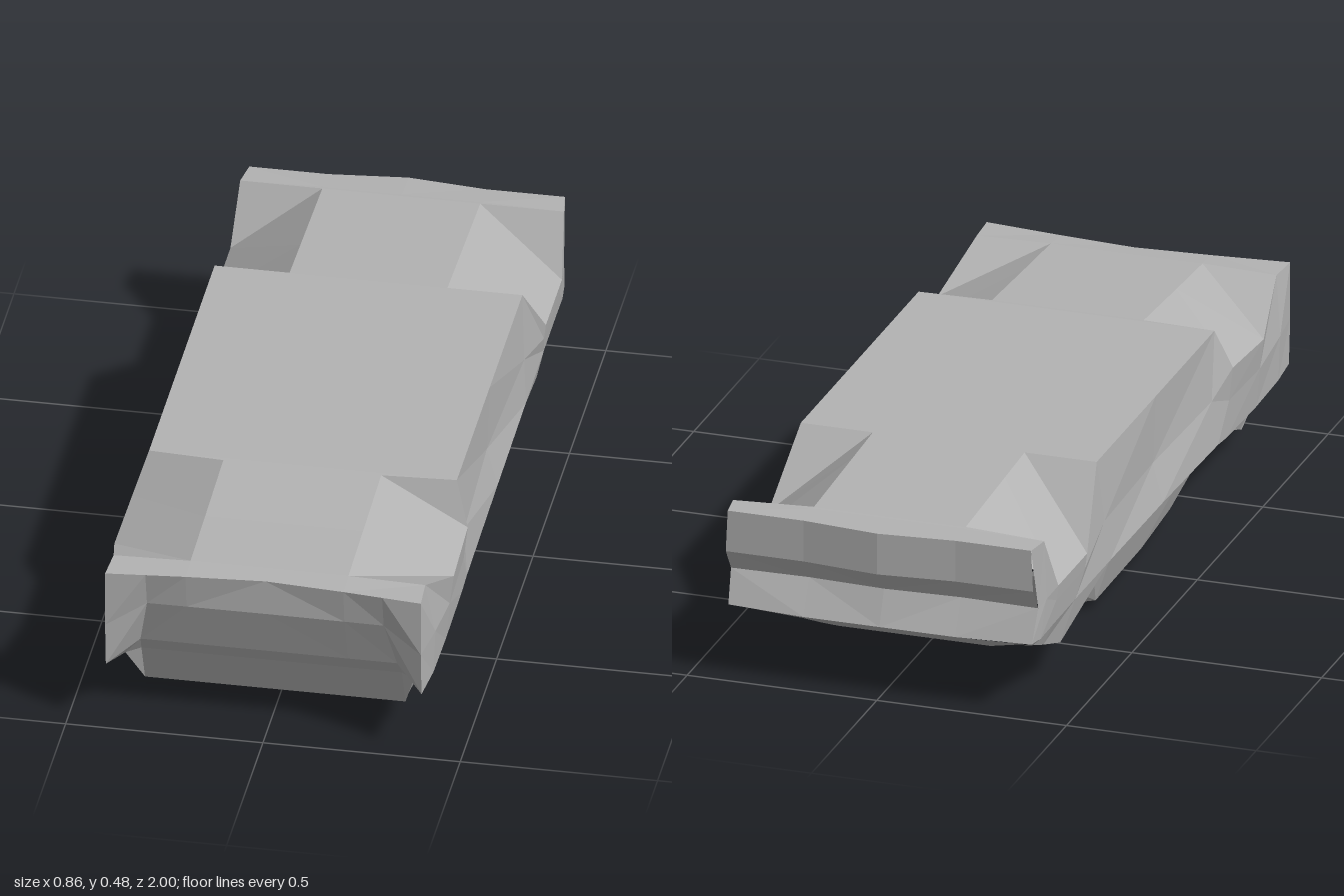
import * as THREE from 'three';

// Skins a list of half sections (x >= 0) and mirrors the result across x = 0.
function mirroredLoft(name, sections, material) {
  const pos = [];
  const tri = (p, q, r) => {
    pos.push(...p, ...q, ...r);
    for (const v of [p, r, q]) pos.push(-v[0], v[1], v[2]);
  };
  for (let i = 0; i < sections.length - 1; i++) {
    for (let j = 0; j < sections[i].length - 1; j++) {
      const a = sections[i][j], b = sections[i][j + 1];
      const c = sections[i + 1][j + 1], d = sections[i + 1][j];
      tri(a, b, c);
      tri(a, c, d);
    }
  }
  const geo = new THREE.BufferGeometry();
  geo.setAttribute('position', new THREE.Float32BufferAttribute(pos, 3));
  geo.computeVertexNormals();
  const mesh = new THREE.Mesh(geo, material);
  mesh.name = name;
  return mesh;
}

export function createModel() {
  const group = new THREE.Group();
  group.name = 'overturnedCarBody';
  const grey = new THREE.MeshStandardMaterial({ color: 0xb2b2b2, flatShading: true });
  grey.name = 'bodyGrey';

  // Body sections, each from the flat floor (top) round the side to the lower centre.
  // The third point drops at the wheel cutouts.
  const frontHalf = [
    [[0, .45, .965], [.2, .45, .98], [.4, .45, 1], [.4, .3, 1], [.4, .18, .99], [.365, .17, .91], [.33, .055, .83], [0, .055, .83]],
    [[0, .455, .91], [.2, .455, .91], [.395, .45, .91], [.415, .3, .88], [.41, .18, .88], [.375, .17, .85], [.33, .06, .82], [0, .06, .82]],
    [[0, .465, .71], [.2, .465, .71], [.43, .36, .71], [.42, .28, .71], [.41, .175, .71], [.38, .175, .71], [.33, .1, .71], [0, .1, .71]],
    [[0, .479, .46], [.2, .479, .46], [.425, .37, .49], [.415, .28, .49], [.41, .18, .49], [.38, .18, .49], [.33, .17, .5], [0, .17, .5]],
    [[0, .48, .45], [.2, .48, .45], [.39, .48, .45], [.4, .31, .4], [.41, .187, .42], [.38, .185, .42], [.33, .18, .42], [0, .18, .42]],
  ];
  const rearHalf = [
    [[0, .48, 0], [.2, .48, 0], [.39, .48, 0], [.383, .3, 0], [.41, .197, 0], [.38, .187, 0], [.3, .187, 0], [0, .187, 0]],
    [[0, .48, -.45], [.2, .48, -.45], [.39, .48, -.45], [.4, .31, -.42], [.408, .197, -.4], [.38, .18, -.4], [.3, .165, -.42], [0, .16, -.42]],
    [[0, .472, -.6], [.2, .472, -.6], [.42, .3, -.61], [.415, .26, -.61], [.406, .195, -.66], [.38, .09, -.7], [.2, .06, -.71], [0, .06, -.71]],
    [[0, .456, -.9], [.2, .456, -.9], [.42, .3, -.83], [.415, .26, -.83], [.405, .192, -.83], [.38, .135, -.83], [.2, .12, -.84], [0, .12, -.84]],
    [[0, .455, -.91], [.2, .455, -.91], [.41, .45, -.91], [.413, .29, -.9], [.405, .19, -.92], [.38, .165, -.91], [.2, .155, -.91], [0, .155, -.91]],
    [[0, .45, -1], [.2, .45, -.98], [.4, .45, -.98], [.405, .28, -.94], [.4, .195, -.975], [.38, .19, -.975], [.2, .19, -.98], [0, .19, -.98]],
  ];
  group.add(mirroredLoft('body', [...frontHalf, ...rearHalf], grey));

  // Recessed front face: columns from the centre outward, each running down.
  group.add(mirroredLoft('frontFace', [
    [[0, .45, .965], [0, .355, .965], [0, .22, .92], [0, .17, .88], [0, .055, .83]],
    [[.2, .45, .98], [.2, .355, .966], [.2, .22, .92], [.2, .17, .88], [.2, .055, .83]],
    [[.3, .45, .99], [.3, .355, .967], [.325, .22, .92], [.33, .17, .88], [.33, .055, .83]],
    [[.4, .45, 1], [.4, .3, 1], [.4, .18, .99], [.365, .17, .91], [.33, .055, .83]],
  ], grey));

  // Rear face with a grooved middle: columns from the outside to the centre.
  group.add(mirroredLoft('rearFace', [
    [[.4, .45, -.98], [.405, .34, -.98], [.405, .28, -.94], [.4, .195, -.975]],
    [[.2, .45, -.98], [.2, .34, -.98], [.2, .28, -.935], [.2, .19, -.98]],
    [[0, .45, -1], [0, .34, -1], [0, .28, -.945], [0, .19, -.98]],
  ], grey));

  // Cabin hanging below the body, from windscreen to rear window.
  group.add(mirroredLoft('cabin', [
    [[.375, .19, .5], [.34, .17, .53], [.2, .14, .6], [0, .14, .6]],
    [[.38, .19, .3], [.325, .05, .3], [.2, .03, .38], [0, .03, .38]],
    [[.38, .19, .1], [.325, .03, .08], [.2, 0, .12], [0, 0, .12]],
    [[.38, .19, -.28], [.325, .027, -.27], [.2, 0, -.28], [0, 0, -.28]],
    [[.37, .19, -.33], [.34, .18, -.34], [.2, .15, -.44], [0, .15, -.44]],
  ], grey));

  return group;
}
